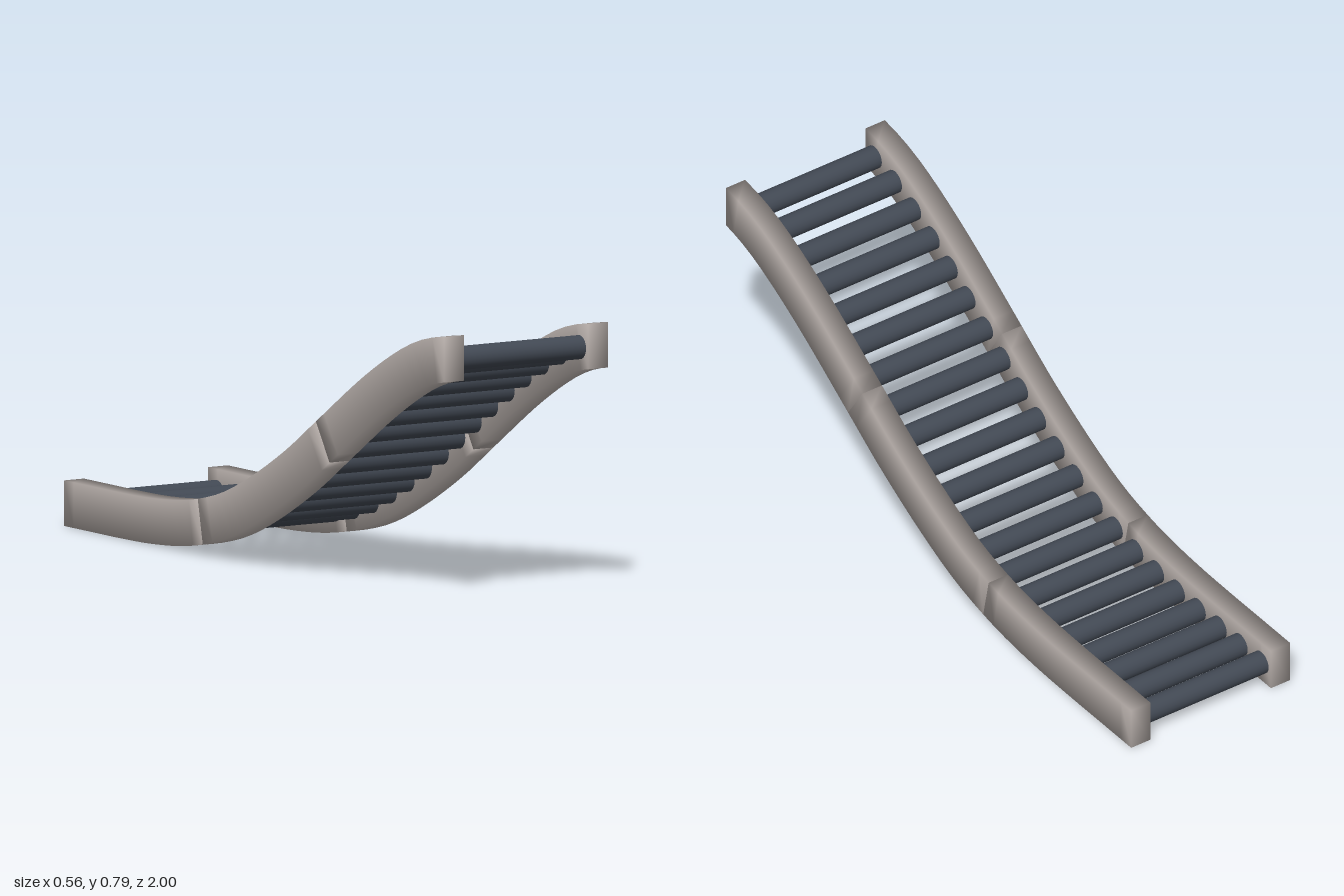
import * as THREE from 'three';

const RAIL_HALF_W = 0.034, RAIL_HALF_H = 0.066, RAIL_X = 0.246;
const SECTIONS = 3, ROLLERS_PER_SECTION = 7, ROLLER_R = 0.035;

// Centre line of the conveyor, from the low back end to the high front end
const path = new THREE.CatmullRomCurve3([
  [-1, 0.067], [-0.85, 0.067], [-0.7, 0.067], [-0.55, 0.07], [-0.4, 0.081], [-0.28, 0.1],
  [-0.15, 0.134], [0, 0.197], [0.2, 0.304], [0.365, 0.41], [0.6, 0.56],
  [0.75, 0.642], [0.85, 0.686], [0.93, 0.71], [1, 0.722],
].map(([z, y]) => new THREE.Vector3(0, y, z)), false, 'centripetal');
path.arcLengthDivisions = 600;

// One closed rail section: a rectangle swept along part of the path, softly shaded
function railSection(u0, u1, steps = 14) {
  const corners = [[-1, -1], [1, -1], [1, 1], [-1, 1]];
  const pos = [], idx = [];
  for (let i = 0; i <= steps; i++) {
    const u = u0 + (u1 - u0) * i / steps;
    const p = path.getPointAt(u), t = path.getTangentAt(u);
    if (u < 0.001 || u > 0.999) t.set(0, 0, 1); // upright end faces
    for (const [sx, sy] of corners) {
      pos.push(sx * RAIL_HALF_W, p.y + sy * RAIL_HALF_H * t.z, p.z - sy * RAIL_HALF_H * t.y);
    }
    if (i === steps) break;
    for (let k = 0; k < 4; k++) {
      const a = i * 4 + k, b = i * 4 + (k + 1) % 4;
      idx.push(a, b, b + 4, a, b + 4, a + 4);
    }
  }
  const e = steps * 4;
  idx.push(0, 3, 2, 0, 2, 1, e, e + 1, e + 2, e, e + 2, e + 3);
  const geo = new THREE.BufferGeometry();
  geo.setAttribute('position', new THREE.Float32BufferAttribute(pos, 3));
  geo.setIndex(idx);
  geo.computeVertexNormals();
  return geo;
}

export function createModel() {
  const model = new THREE.Group();
  model.name = 'rollerConveyor';
  const railMat = new THREE.MeshStandardMaterial({ color: 0xaea6a2 });
  railMat.name = 'warmGrey';
  const rollerMat = new THREE.MeshStandardMaterial({ color: 0x424954 });
  rollerMat.name = 'darkSlate';

  // Side rails, three sections on each side
  for (let s = 0; s < SECTIONS; s++) {
    const geo = railSection(s / SECTIONS, (s + 1) / SECTIONS);
    for (const [side, label] of [[1, 'left'], [-1, 'right']]) {
      const rail = new THREE.Mesh(geo, railMat);
      rail.name = `${label}Rail${s + 1}`;
      rail.position.x = side * RAIL_X;
      model.add(rail);
    }
  }

  // Rollers evenly spaced along the path
  const rollerGeo = new THREE.CylinderGeometry(ROLLER_R, ROLLER_R, 0.426, 20);
  rollerGeo.rotateZ(Math.PI / 2);
  const count = SECTIONS * ROLLERS_PER_SECTION;
  for (let i = 0; i < count; i++) {
    const roller = new THREE.Mesh(rollerGeo, rollerMat);
    roller.name = `roller${i + 1}`;
    roller.position.copy(path.getPointAt((i + 0.45) / (count - 0.1)));
    model.add(roller);
  }
  return model;
}
